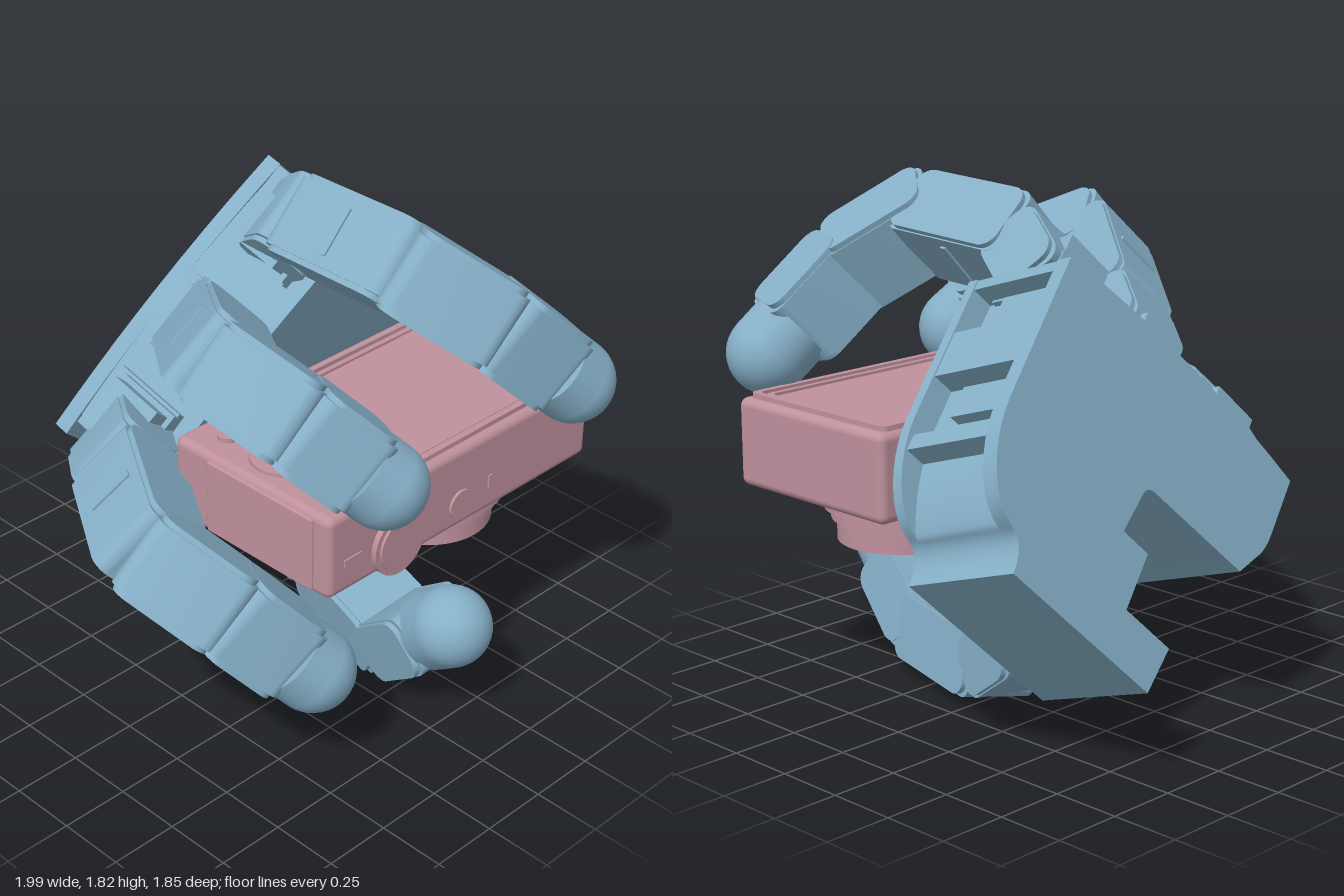
import * as THREE from 'three';
import { toCreasedNormals } from 'three/addons/utils/BufferGeometryUtils.js';
import { RoundedBoxGeometry } from 'three/addons/geometries/RoundedBoxGeometry.js';

const blue = new THREE.MeshStandardMaterial({ color: 0x86b0c8 });
const pink = new THREE.MeshStandardMaterial({ color: 0xbf919d });
const V = (x, y, z) => new THREE.Vector3(x, y, z);

function add(parent, name, geometry, material, x = 0, y = 0, z = 0) {
  const mesh = new THREE.Mesh(geometry, material);
  mesh.name = name;
  mesh.position.set(x, y, z);
  parent.add(mesh);
  return mesh;
}

function roundedRect(w, h, r, Type = THREE.Shape) {
  const s = new Type();
  s.absarc(w / 2 - r, h / 2 - r, r, 0, Math.PI / 2);
  s.absarc(r - w / 2, h / 2 - r, r, Math.PI / 2, Math.PI);
  s.absarc(r - w / 2, r - h / 2, r, Math.PI, Math.PI * 1.5);
  s.absarc(w / 2 - r, r - h / 2, r, Math.PI * 1.5, Math.PI * 2);
  s.closePath();
  return s;
}

function extrude(shape, depth, z = 0) {
  const g = new THREE.ExtrudeGeometry(shape, { depth, bevelEnabled: false, curveSegments: 10 });
  return toCreasedNormals(g.translate(0, 0, z), 0.6);
}

// Group whose local x runs from p to q and whose local z is the finger's width
function linkFrame(parent, name, p, q, side) {
  const u = q.clone().sub(p).normalize();
  const s = side.clone().addScaledVector(u, -side.dot(u)).normalize();
  const v = s.clone().cross(u);
  const g = new THREE.Group();
  g.name = name;
  g.quaternion.setFromRotationMatrix(new THREE.Matrix4().makeBasis(u, v, s));
  g.position.copy(p).add(q).multiplyScalar(0.5);
  parent.add(g);
  return g;
}

// One finger segment: housing, raised side covers and a strap across the middle
function link(parent, name, p, q, side, thick, over) {
  const g = linkFrame(parent, name, p, q, side);
  const len = p.distanceTo(q) + over * 2;
  add(g, 'housing', extrude(roundedRect(len, thick, 0.05), 0.26, -0.13), blue);
  for (const z of [-0.15, 0.13]) {
    add(g, 'sideCover', extrude(roundedRect(len - 0.03, thick - 0.01, 0.06), 0.02, z), blue);
  }
  if (len > 0.5) add(g, 'strap', new THREE.BoxGeometry(0.025, thick + 0.016, 0.18), blue);
}

// Chain of segments from the knuckle to a ball fingertip
const outward = V(-0.72, 0.64, 0.23);
function finger(parent, name, points, side, ball, thick = 0.26) {
  const g = new THREE.Group();
  g.name = name;
  parent.add(g);
  const [base, j1, j2, j3, tip] = points;
  link(g, 'knuckle', base, j1, side, thick - 0.02, 0.02);
  link(g, 'proximalLink', j1, j2, side, thick, 0.03);
  const last = j3 || j2;
  // the middle segment is hinged slightly outside the first one
  if (j3) link(g, 'middleLink', j2.clone().addScaledVector(outward, 0.045), j3, side, thick, 0.035);
  const neck = tip.clone().lerp(last, 0.3);
  link(g, 'distalLink', last, neck, side, thick - 0.01, 0.03);
  const cap = linkFrame(g, 'fingertip', neck, tip, side);
  const half = neck.distanceTo(tip) / 2;
  const sleeve = new THREE.CylinderGeometry(ball, ball, half * 2, 32).rotateZ(Math.PI / 2);
  add(cap, 'sleeve', sleeve, blue);
  add(cap, 'ball', new THREE.SphereGeometry(ball, 32, 20), blue, half);
}

function palmOutline(inset) {
  const s = new THREE.Shape();
  s.moveTo(inset, 0.02);
  s.lineTo(inset, 0.58);
  s.bezierCurveTo(inset, 0.73, 0.08 + inset, 0.9, 0.2, 0.925);
  s.quadraticCurveTo(0.27, 0.94, 0.275, 1.05);
  s.lineTo(0.96, 1.05);
  s.lineTo(0.98, 0.87);
  // thumb opening
  s.lineTo(0.64, 0.87);
  s.quadraticCurveTo(0.6, 0.87, 0.6, 0.83);
  s.lineTo(0.64, 0.5);
  s.quadraticCurveTo(0.645, 0.46, 0.69, 0.46);
  s.lineTo(1.16, 0.45);
  s.lineTo(1.22 - inset, 0.34);
  s.quadraticCurveTo(1.24 - inset, 0.3, 1.24 - inset, 0.24);
  s.lineTo(1.24 - inset, 0.02);
  s.quadraticCurveTo(0.62, -0.06, inset, 0.02);
  return s;
}

function buildPalm(parent) {
  // local x: across the knuckles, y: toward the wrist, z: out of the palm
  const w = V(-0.685, -0.7, -0.19).normalize();
  const n = V(0.03, -0.31, 0.95);
  n.addScaledVector(w, -n.dot(w)).normalize();
  const d = n.clone().cross(w);
  const palm = new THREE.Group();
  palm.name = 'palm';
  palm.quaternion.setFromRotationMatrix(new THREE.Matrix4().makeBasis(w, d, n));
  palm.position.set(0.43, 1.545, -0.045);
  parent.add(palm);

  add(palm, 'frontPlate', extrude(palmOutline(0), 0.04, -0.04), blue);
  add(palm, 'core', extrude(palmOutline(0.09), 0.4, -0.42), blue);
  add(palm, 'backCover', extrude(palmOutline(0), 0.06, -0.47), blue);
  // ribs between the side recesses
  for (const [y, h] of [[0.04, 0.04], [0.33, 0.18], [0.67, 0.06]]) {
    add(palm, 'sideRib', new THREE.BoxGeometry(0.1, h, 0.4), blue, y > 0.6 ? 0.075 : 0.055, y, -0.23);
  }
  for (const y of [0.14, 0.51]) {
    add(palm, 'sideMotor', new THREE.BoxGeometry(0.06, 0.12, 0.2), blue, 0.08, y, -0.25);
  }
  // stepped knuckle mounts
  for (const x of [0.2, 0.62, 1.04]) {
    add(palm, 'knuckleMount', new THREE.BoxGeometry(0.26, 0.12, 0.3), blue, x, 0.01, -0.22);
    add(palm, 'knuckleMotor', new THREE.BoxGeometry(0.2, 0.2, 0.22), blue, x, -0.1, -0.18);
    add(palm, 'knuckleFlange', new THREE.BoxGeometry(0.24, 0.04, 0.26), blue, x, -0.09, -0.18);
  }
  // thumb motor filling the opening
  add(palm, 'thumbMotor', new THREE.BoxGeometry(0.34, 0.38, 0.24), blue, 0.8, 0.67, -0.1);
  add(palm, 'thumbMotorCap', new THREE.BoxGeometry(0.26, 0.3, 0.13), blue, 0.84, 0.74, 0.08);
  add(palm, 'thumbBracket', new THREE.BoxGeometry(0.16, 0.2, 0.22), blue, 0.98, 0.74, 0.0);
}

function buildCamera(parent) {
  const cam = new THREE.Group();
  cam.name = 'camera';
  parent.add(cam);
  add(cam, 'body', new RoundedBoxGeometry(1.31, 0.315, 0.74, 4, 0.03), pink, 0.185, 0.9225, 0.33);

  // stepped lens barrel pointing down, with a hollow front
  const profile = [[0, 0.6], [0.11, 0.6], [0.11, 0.565], [0.2, 0.565], [0.2, 0.56], [0.235, 0.56],
    [0.235, 0.64], [0.255, 0.64], [0.255, 0.68], [0.28, 0.68], [0.28, 0.72], [0.3, 0.72],
    [0.3, 0.75], [0.32, 0.75], [0.32, 0.79]].map(([r, y]) => new THREE.Vector2(r, y));
  const lens = toCreasedNormals(new THREE.LatheGeometry(profile, 48), 0.6);
  add(cam, 'lens', lens, pink, 0.4, 0, 0.34);
  add(cam, 'lensWindow', new THREE.BoxGeometry(0.11, 0.03, 0.08), pink, 0.4, 0.597, 0.34);

  // screen with a double frame on the upper face
  for (const [wide, high, rim, top] of [[0.92, 0.69, 0.025, 1.097], [0.85, 0.62, 0.02, 1.09]]) {
    const ring = roundedRect(wide, high, 0.03);
    ring.holes.push(roundedRect(wide - rim * 2, high - rim * 2, 0.02, THREE.Path));
    add(cam, 'screenFrame', extrude(ring, 0.03).rotateX(-Math.PI / 2), pink, 0.35, top - 0.03, 0.325);
  }

  // dials and buttons: [x, z, radius, height]
  for (const [x, z, r, h] of [[-0.29, 0.325, 0.13, 0.025], [-0.235, 0.59, 0.045, 0.035],
    [-0.23, 0.08, 0.045, 0.035], [-0.35, 0.1, 0.035, 0.035]]) {
    add(cam, 'topButton', new THREE.CylinderGeometry(r, r, h, 32), pink, x, 1.08, z);
  }
  for (const [x, r, h] of [[-0.15, 0.12, 0.05], [-0.15, 0.1, 0.07], [0.165, 0.055, 0.03]]) {
    const dial = new THREE.CylinderGeometry(r, r, h, 32).rotateX(Math.PI / 2);
    add(cam, 'frontDial', dial, pink, x, 0.86, 0.695);
  }
  add(cam, 'frontSlot', new THREE.BoxGeometry(0.08, 0.03, 0.012), pink, -0.36, 0.885, 0.7);
  add(cam, 'frontSwitch', new THREE.BoxGeometry(0.018, 0.05, 0.012), pink, 0.315, 0.885, 0.7);
  add(cam, 'sideDoor', new RoundedBoxGeometry(0.02, 0.28, 0.5, 2, 0.008), pink, -0.47, 0.92, 0.38);
  add(cam, 'gripRail', new THREE.BoxGeometry(0.27, 0.02, 0.1), pink, 0.65, 0.765, 0.6);
}

export function createModel() {
  const model = new THREE.Group();
  model.name = 'robotHandWithCamera';
  buildPalm(model);
  buildCamera(model);

  const across = V(0.66, 0.71, 0.24);
  finger(model, 'indexFinger', [V(0.27, 1.515, -0.26), V(0.2, 1.625, -0.08), V(0.18, 1.64, 0.42),
    V(0.34, 1.48, 0.67), V(0.63, 1.19, 0.78)], across, 0.15);
  finger(model, 'middleFinger', [V(-0.11, 1.25, -0.29), V(-0.23, 1.345, -0.11), V(-0.52, 1.49, 0.26),
    V(-0.47, 1.395, 0.56), V(-0.26, 1.15, 0.74)], across, 0.15);
  finger(model, 'outerFinger', [V(-0.4, 0.87, -0.41), V(-0.55, 0.91, -0.2), V(-0.79, 0.875, 0.2),
    V(-0.69, 0.73, 0.46), V(-0.46, 0.45, 0.62)], across, 0.15);
  finger(model, 'thumb', [V(0.39, 0.32, -0.3), V(0.33, 0.16, -0.07), V(0.18, 0.15, 0.42),
    null, V(0.09, 0.41, 0.75)], V(0.98, 0.17, 0.1), 0.145, 0.24);
  return model;
}
